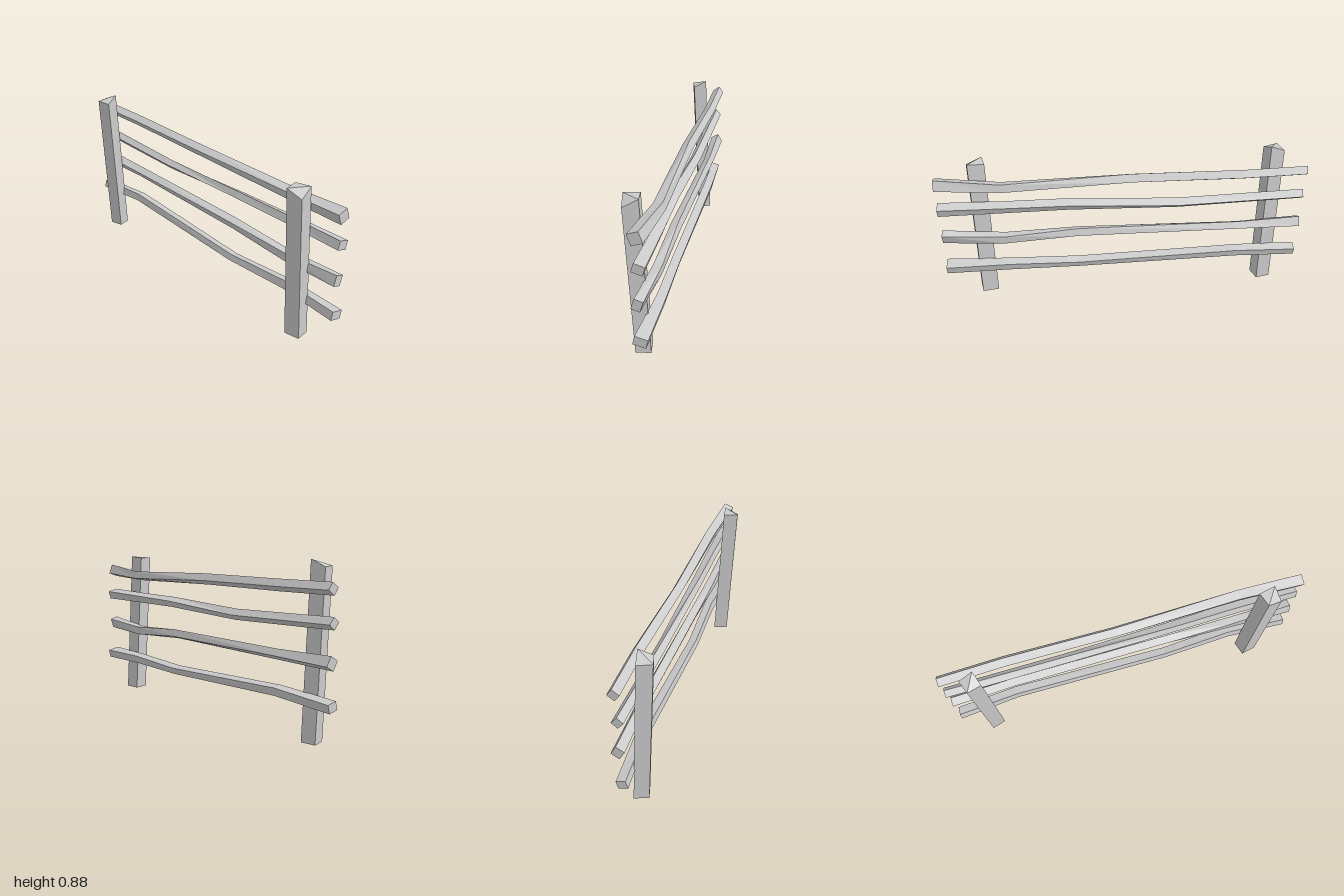
import * as THREE from 'three';

const material = new THREE.MeshStandardMaterial({ color: 0xcccccc, flatShading: true, side: THREE.DoubleSide });

// Joins four-cornered cross-sections into a faceted beam
function loft(name, sections, capStart) {
  const index = [];
  const last = (sections.length - 1) * 4;
  for (let i = 0; i < last; i += 4) {
    for (let j = 0; j < 4; j++) {
      const k = (j + 1) % 4;
      index.push(i + j, i + 4 + j, i + k, i + k, i + 4 + j, i + 4 + k);
    }
  }
  index.push(last + 3, last + 1, last, last + 3, last + 2, last + 1);
  if (capStart) index.push(0, 1, 3, 1, 2, 3);
  const indexed = new THREE.BufferGeometry();
  indexed.setAttribute('position', new THREE.Float32BufferAttribute(sections.flat(2), 3));
  indexed.setIndex(index);
  const geometry = indexed.toNonIndexed();
  geometry.computeVertexNormals();
  const mesh = new THREE.Mesh(geometry, material);
  mesh.name = name;
  return mesh;
}

// Crooked rail: each station is [x, y, z, twist in degrees, width, height]
function rail(name, stations) {
  const sections = stations.map(([x, y, z, twist, w, h]) => {
    const t = THREE.MathUtils.degToRad(twist), c = Math.cos(t), s = Math.sin(t);
    return [[1, 1], [-1, 1], [-1, -1], [1, -1]].map(([a, b]) => {
      const u = a * w / 2, v = b * h / 2;
      return [x, y + v * c - u * s, z + u * c + v * s];
    });
  });
  return loft(name, sections, true);
}

// Leaning post with a rough-cut top: corners are [x, top z, top y]
function post(name, corners) {
  const lean = 0.045;
  return loft(name, [
    corners.map(([x, z]) => [x, 0, z - lean]),
    corners.map(([x, z, y]) => [x, y, z]),
  ], false);
}

export function createModel() {
  const group = new THREE.Group();
  group.name = 'fence';

  // Posts
  group.add(post('leftPost', [[0.834, 0.073, 0.8], [0.75, 0.09, 0.835], [0.728, 0.01, 0.835], [0.818, -0.004, 0.842]]));
  group.add(post('rightPost', [[-0.78, 0.068, 0.842], [-0.857, 0.09, 0.848], [-0.884, 0.015, 0.845], [-0.805, -0.002, 0.88]]));

  // Rails, top to bottom
  group.add(rail('topRail', [
    [-1, 0.754, -0.05, 35, 0.046, 0.044],
    [-0.65, 0.75, -0.058, 35, 0.046, 0.044],
    [-0.05, 0.746, -0.045, 32, 0.045, 0.045],
    [0.65, 0.728, -0.056, 15, 0.052, 0.044],
    [1, 0.746, -0.033, 20, 0.058, 0.06],
  ]));
  group.add(rail('upperRail', [
    [-1, 0.596, -0.04, -50, 0.045, 0.042],
    [-0.3, 0.574, -0.043, -45, 0.045, 0.038],
    [0.3, 0.592, -0.04, -25, 0.05, 0.038],
    [0.65, 0.592, -0.045, -20, 0.05, 0.042],
    [1, 0.592, -0.044, -16, 0.057, 0.048],
  ]));
  group.add(rail('lowerRail', [
    [-1, 0.413, -0.048, 30, 0.05, 0.055],
    [-0.65, 0.41, -0.058, 33, 0.045, 0.04],
    [0.25, 0.407, -0.045, 20, 0.045, 0.042],
    [0.65, 0.384, -0.045, 0, 0.046, 0.045],
    [1, 0.402, -0.035, -17, 0.046, 0.058],
  ]));
  group.add(rail('bottomRail', [
    [-1, 0.208, -0.038, -15, 0.052, 0.045],
    [-0.65, 0.229, -0.057, -10, 0.05, 0.042],
    [0.25, 0.193, -0.045, -15, 0.048, 0.036],
    [0.65, 0.207, -0.058, -12, 0.05, 0.045],
    [1, 0.2, -0.046, -13, 0.068, 0.047],
  ]));
  return group;
}
